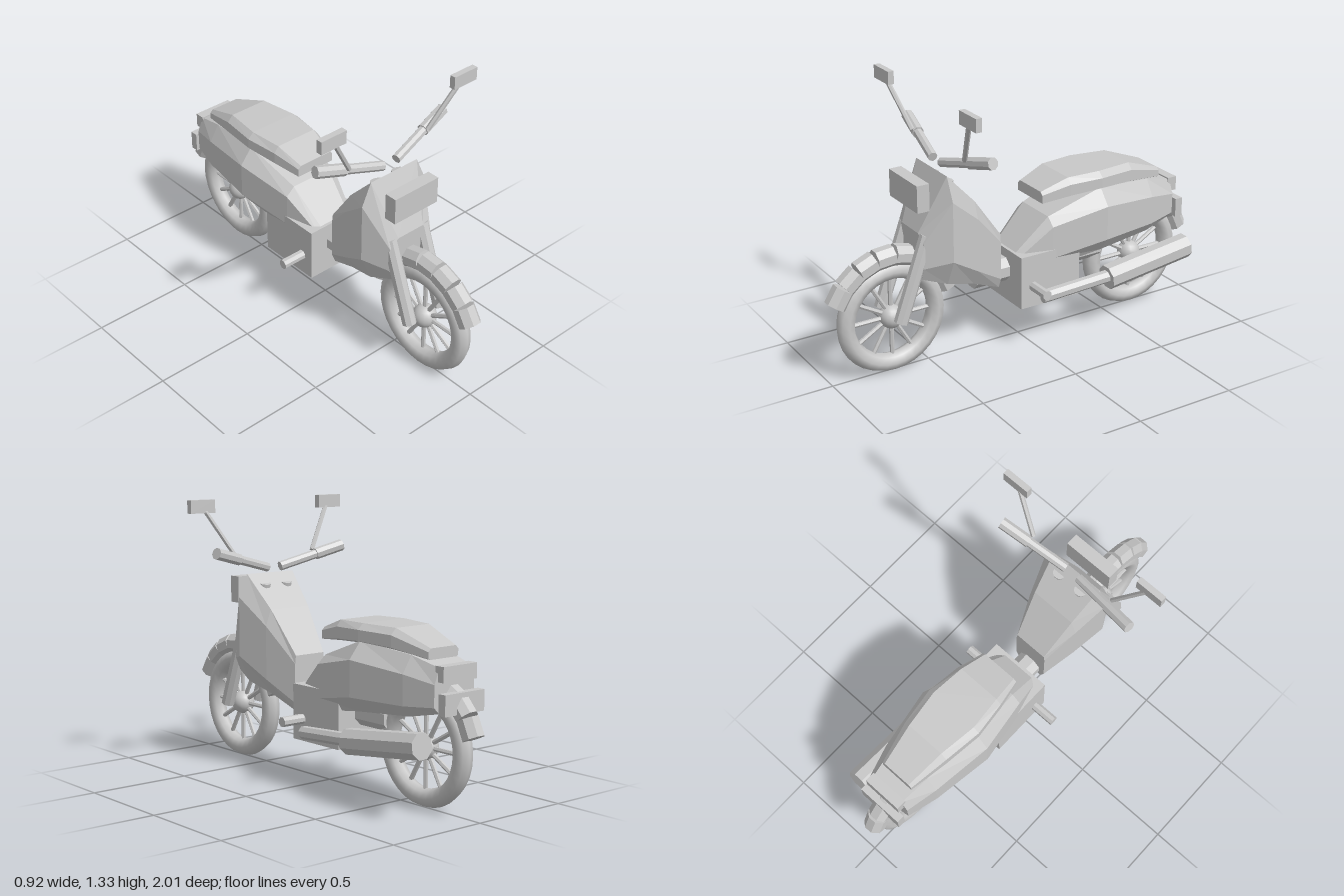
import * as THREE from 'three';

const grey = new THREE.MeshStandardMaterial({ color: 0xc8c8c8 });
grey.name = 'light grey';

const V = (x, y, z) => new THREE.Vector3(x, y, z);

// flat-shaded or smooth mesh
function part(name, geo, flat = true) {
  let g = geo;
  if (flat) {
    if (g.index) g = g.toNonIndexed();
    g.computeVertexNormals();
  }
  const m = new THREE.Mesh(g, grey);
  m.name = name;
  return m;
}

// box given by its extents
function box(name, x0, x1, y0, y1, z0, z1) {
  const m = part(name, new THREE.BoxGeometry(x1 - x0, y1 - y0, z1 - z0));
  m.position.set((x0 + x1) / 2, (y0 + y1) / 2, (z0 + z1) / 2);
  return m;
}

// straight capped tube from a to b
function rod(name, a, b, r, sides = 8) {
  const d = b.clone().sub(a);
  const geo = new THREE.CylinderGeometry(r, r, d.length(), sides);
  geo.rotateY(Math.PI / sides);
  const m = part(name, geo);
  m.quaternion.setFromUnitVectors(V(0, 1, 0), d.normalize());
  m.position.copy(a).add(b).multiplyScalar(0.5);
  return m;
}

// chamfered shell lofted along z, sections ordered from back to front
// section: [z, bottomY, lowShoulderY, highShoulderY, topY, bottomHalf, midHalf, topHalf]
function loft(name, sections) {
  const rings = sections.map(([z, y0, y1, y2, y3, b, w, t]) => [
    V(b, y0, z), V(w, y1, z), V(w, y2, z), V(t, y3, z),
    V(-t, y3, z), V(-w, y2, z), V(-w, y1, z), V(-b, y0, z)]);
  const pts = [];
  const tri = (...p) => pts.push(...p);
  for (let s = 0; s < rings.length - 1; s++) {
    const a = rings[s], b = rings[s + 1];
    for (let i = 0; i < 8; i++) {
      const j = (i + 1) % 8;
      tri(a[i], a[j], b[j], a[i], b[j], b[i]);
    }
  }
  const back = rings[0], front = rings[rings.length - 1];
  for (let i = 1; i < 7; i++) {
    tri(front[0], front[i], front[i + 1]);
    tri(back[0], back[i + 1], back[i]);
  }
  return part(name, new THREE.BufferGeometry().setFromPoints(pts));
}

// tyre, hub, spokes and segmented fender
function wheel(name, z, radius) {
  const g = new THREE.Group();
  g.name = name;
  const tyre = new THREE.TorusGeometry(radius - 0.044, 0.044, 8, 32).rotateY(Math.PI / 2);
  g.add(part('tyre', tyre, false));
  g.add(part('hub', new THREE.SphereGeometry(0.058, 16, 12), false));
  for (let i = 0; i < 12; i++) {
    const a = (i / 12) * Math.PI * 2;
    g.add(rod('spoke', V(0, 0, 0), V(0, Math.sin(a), Math.cos(a)).multiplyScalar(radius - 0.06), 0.011, 6));
  }
  const fender = new THREE.Group();
  fender.name = 'fender';
  for (let i = 0; i < 8; i++) {
    const a = THREE.MathUtils.degToRad(32 + i * 17.6);
    const c = V(0, Math.sin(a), Math.cos(a)).multiplyScalar(0.3);
    const t = V(0, Math.cos(a), -Math.sin(a)).multiplyScalar(0.045);
    fender.add(rod('fenderSegment', c.clone().sub(t), c.clone().add(t), 0.053));
  }
  g.add(fender);
  g.position.set(0, 0.275, z);
  return g;
}

export function createModel() {
  const model = new THREE.Group();
  model.name = 'scooter';

  model.add(wheel('frontWheel', 0.69, 0.275), wheel('rearWheel', -0.663, 0.273));

  // bodywork
  model.add(loft('frontShield', [
    [0.15, 0.31, 0.36, 0.55, 0.59, 0.07, 0.09, 0.085],
    [0.305, 0.38, 0.46, 0.72, 0.80, 0.10, 0.145, 0.115],
    [0.46, 0.43, 0.56, 0.85, 0.96, 0.13, 0.19, 0.14],
    [0.578, 0.47, 0.53, 0.65, 0.69, 0.10, 0.125, 0.075],
  ]));
  model.add(loft('rearBody', [
    [-0.835, 0.46, 0.49, 0.59, 0.66, 0.09, 0.12, 0.09],
    [-0.68, 0.43, 0.48, 0.62, 0.70, 0.12, 0.16, 0.11],
    [-0.38, 0.41, 0.48, 0.65, 0.73, 0.15, 0.205, 0.14],
    [-0.1, 0.37, 0.43, 0.59, 0.63, 0.12, 0.155, 0.11],
    [0.07, 0.30, 0.33, 0.45, 0.47, 0.09, 0.11, 0.085],
  ]));
  model.add(loft('seat', [
    [-0.765, 0.685, 0.69, 0.72, 0.735, 0.08, 0.09, 0.075],
    [-0.57, 0.71, 0.72, 0.775, 0.805, 0.11, 0.13, 0.10],
    [-0.38, 0.72, 0.73, 0.78, 0.808, 0.13, 0.155, 0.125],
    [-0.21, 0.71, 0.72, 0.775, 0.805, 0.11, 0.135, 0.11],
    [-0.07, 0.70, 0.70, 0.74, 0.755, 0.09, 0.105, 0.09],
  ]));

  // engine, frame, pegs
  model.add(box('engineBlock', -0.158, 0.158, 0.21, 0.475, -0.25, 0.08));
  model.add(rod('frameTube', V(0, 0.37, -0.45), V(0, 0.37, 0.26), 0.064));
  model.add(rod('footPegs', V(-0.28, 0.315, 0.012), V(0.28, 0.315, 0.012), 0.024));

  // exhaust
  model.add(rod('exhaustPipe', V(0.18, 0.258, -0.025), V(0.21, 0.29, -0.4), 0.032));
  model.add(rod('muffler', V(0.208, 0.282, -0.38), V(0.208, 0.34, -0.855), 0.062));

  // lights
  model.add(box('headlight', -0.13, 0.13, 0.81, 0.94, 0.545, 0.607));
  model.add(box('tailLight', -0.1, 0.1, 0.6, 0.67, -0.87, -0.82));
  model.add(box('rearPlate', -0.118, 0.118, 0.46, 0.555, -0.9, -0.86));

  // mirrored parts
  for (const s of [1, -1]) {
    model.add(rod('forkLeg', V(s * 0.097, 0.28, 0.69), V(s * 0.097, 0.68, 0.545), 0.034));
    const inner = V(s * 0.04, 0.99, 0.43), outer = V(s * 0.385, 1.08, 0.37);
    model.add(rod('handlebar', inner, outer, 0.023));
    model.add(rod('grip', inner.clone().lerp(outer, 0.57), outer, 0.029));
    model.add(rod('mirrorStalk', V(s * 0.238, 1.06, 0.425), V(s * 0.375, 1.28, 0.48), 0.012, 6));
    const c = s * 0.39;
    model.add(box('mirror', c - 0.07, c + 0.07, 1.265, 1.328, 0.468, 0.498));
    model.add(rod('gauge', V(s * 0.065, 0.87, 0.43), V(s * 0.065, 0.915, 0.42), 0.032, 16));
  }
  return model;
}
